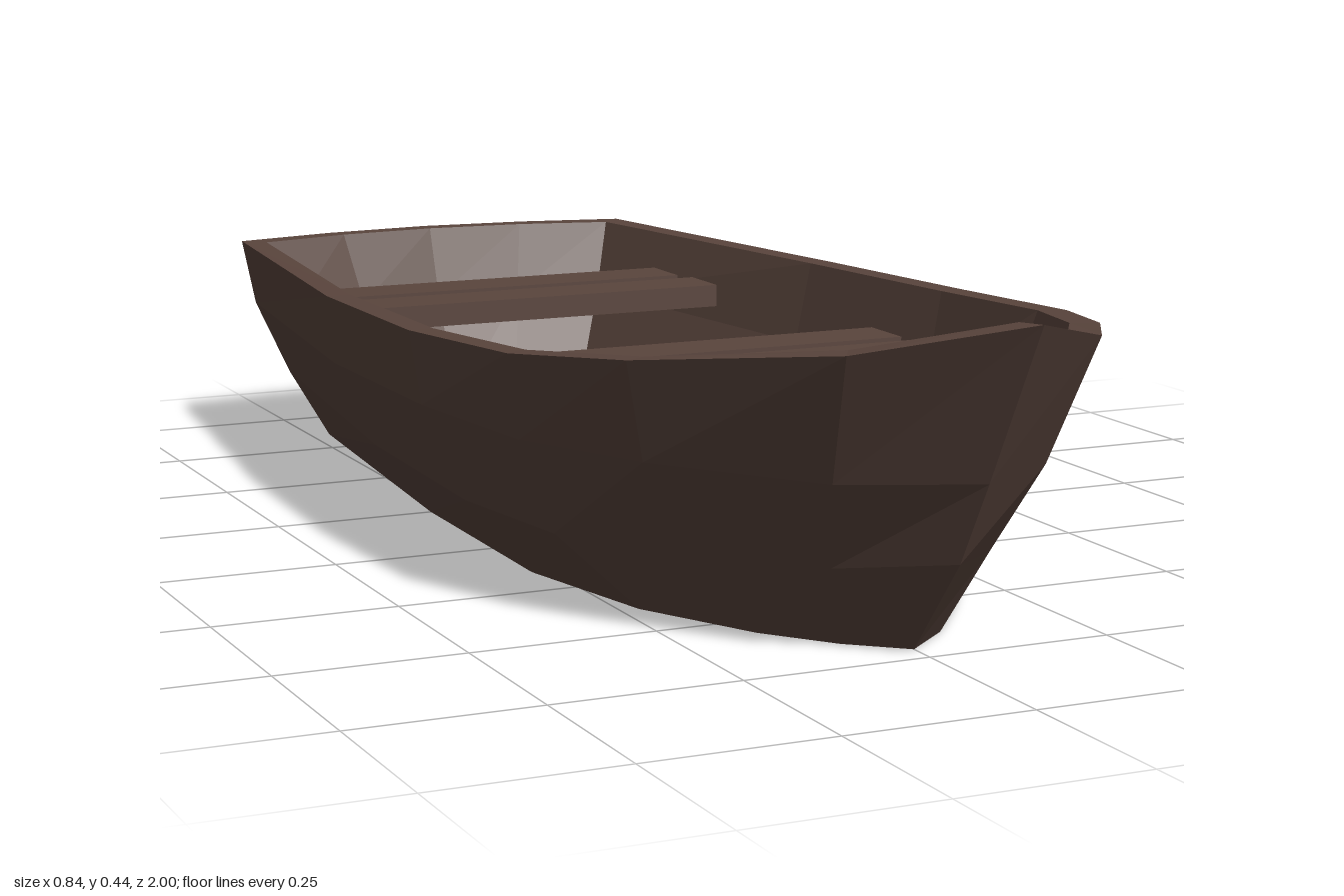
import * as THREE from 'three';

// Half outlines from bow to stern as [x, y, z]; mirrored into closed loops
const OUTLINES = {
  bottom: [[0, 0, .71], [.07, 0, .65], [.14, 0, .56], [.225, 0, .39], [.275, 0, .15],
    [.27, 0, -.25], [.22, 0, -.855], [.11, 0, -.87], [0, 0, -.88]],
  chine: [[0, .13, .82], [.11, .11, .70], [.24, .1, .51], [.325, .1, .35], [.357, .1, .12],
    [.343, .1, -.28], [.27, .1, -.90], [.135, .1, -.93], [0, .1, -.945]],
  side: [[0, .24, .885], [.145, .23, .77], [.295, .23, .56], [.38, .23, .37], [.41, .23, .1],
    [.395, .22, -.3], [.312, .21, -.94], [.16, .2, -.965], [0, .19, -.978]],
  gunwale: [[0, .445, 1], [.17, .398, .85], [.33, .363, .59], [.403, .345, .39], [.42, .328, .08],
    [.405, .318, -.3], [.33, .31, -.95], [.17, .31, -.985], [0, .31, -1]],
  innerRim: [[0, .44, .945], [.147, .397, .81], [.297, .362, .57], [.37, .344, .37], [.385, .328, .08],
    [.37, .318, -.3], [.298, .31, -.92], [.155, .31, -.955], [0, .31, -.968]],
  innerSide: [[0, .2, .80], [.105, .2, .70], [.225, .2, .53], [.318, .2, .36], [.35, .2, .1],
    [.34, .2, -.29], [.265, .2, -.882], [.135, .2, -.917], [0, .2, -.93]],
  floor: [[0, .038, .66], [.06, .038, .60], [.115, .038, .54], [.20, .038, .37], [.25, .038, .15],
    [.25, .038, -.25], [.20, .038, -.81], [.10, .038, -.835], [0, .038, -.85]],
};

function ring(name) {
  const half = OUTLINES[name];
  return [...half, ...half.slice(1, -1).reverse().map(([x, y, z]) => [-x, y, z])];
}

function facetMesh(name, triangles, material) {
  const geometry = new THREE.BufferGeometry();
  geometry.setAttribute('position', new THREE.Float32BufferAttribute(triangles.flat(), 3));
  geometry.computeVertexNormals();
  const mesh = new THREE.Mesh(geometry, material);
  mesh.name = name;
  return mesh;
}

// Skin stretched over consecutive rings
function loft(name, ringNames, material) {
  const rings = ringNames.map(ring);
  const tris = [];
  for (let k = 0; k < rings.length - 1; k++) {
    const low = rings[k], up = rings[k + 1], n = low.length;
    for (let i = 0; i < n; i++) {
      const j = (i + 1) % n;
      tris.push(up[i], low[i], up[j], up[j], low[i], low[j]);
    }
  }
  return facetMesh(name, tris, material);
}

// Flat fan filling one ring
function cap(name, ringName, facesUp, material) {
  const loop = ring(ringName), centre = [0, loop[0][1], 0], tris = [];
  loop.forEach((p, i) => {
    const q = loop[(i + 1) % loop.length];
    tris.push(centre, ...(facesUp ? [p, q] : [q, p]));
  });
  return facetMesh(name, tris, material);
}

export function createModel() {
  const boat = new THREE.Group();
  boat.name = 'rowingBoat';
  const wood = new THREE.MeshStandardMaterial({ color: 0x5a453d, flatShading: true });
  wood.name = 'darkBrownWood';

  // Hull
  boat.add(
    loft('outerHull', ['bottom', 'chine', 'side', 'gunwale'], wood),
    loft('rim', ['gunwale', 'innerRim'], wood),
    loft('innerHull', ['innerRim', 'innerSide', 'floor'], wood),
    cap('floor', 'floor', true, wood),
    cap('keelBottom', 'bottom', false, wood),
  );

  // Two seats of two planks each: [name, half width, centre z]
  const planks = [
    ['rearSeatBackPlank', .295, -.67], ['rearSeatFrontPlank', .308, -.55],
    ['middleSeatBackPlank', .34, 0], ['middleSeatFrontPlank', .34, .12],
  ];
  for (const [name, half, z] of planks) {
    const plank = new THREE.Mesh(new THREE.BoxGeometry(half * 2, .034, .09), wood);
    plank.position.set(0, .243, z);
    plank.name = name;
    boat.add(plank);
  }
  return boat;
}
